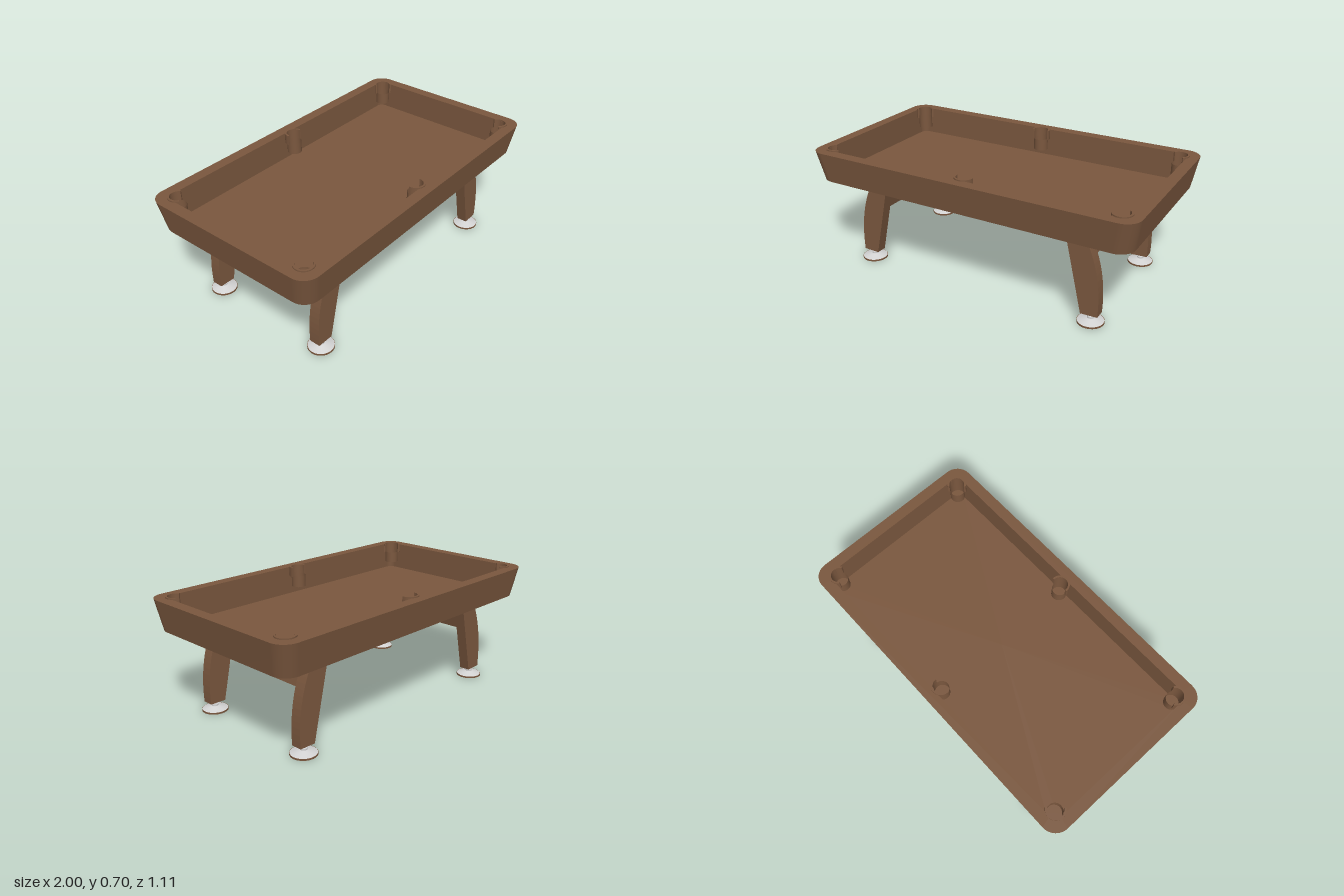
import * as THREE from 'three';

const wood = new THREE.MeshStandardMaterial({ color: 0x7a573e });
wood.name = 'brownWood';
const metal = new THREE.MeshStandardMaterial({ color: 0xd2d2d2 });
metal.name = 'paleMetal';
const woodOpen = wood;
woodOpen.side = THREE.DoubleSide;

function add(parent, name, geometry, material = wood) {
  const mesh = new THREE.Mesh(geometry, material);
  mesh.name = name;
  parent.add(mesh);
  return mesh;
}

// Rounded rectangle ring of points in the xz plane, going from +x towards +z
function ring(hx, hz, r, y, steps = 10) {
  const pts = [];
  const corners = [[1, 1], [-1, 1], [-1, -1], [1, -1]];
  corners.forEach(([sx, sz], c) => {
    for (let i = 0; i <= steps; i++) {
      const a = (c + i / steps) * Math.PI / 2;
      pts.push([sx * (hx - r) + r * Math.cos(a), y, sz * (hz - r) + r * Math.sin(a)]);
    }
  });
  return pts;
}

// Tray lofted through rings; every strip has its own points so edges stay sharp
function trayGeometry() {
  const outerLow = ring(0.97, 0.525, 0.09, 0.518);
  const outerTop = ring(1, 0.555, 0.09, 0.698);
  const innerTop = ring(0.935, 0.49, 0.04, 0.698);
  const innerLow = ring(0.935, 0.49, 0.04, 0.53);
  const n = outerLow.length;
  const centre = y => Array.from({ length: n }, () => [0, y, 0]);
  const loops = [centre(0.518), outerLow, outerTop, innerTop, innerLow, centre(0.53)];
  const position = [], index = [];
  for (let s = 0; s + 1 < loops.length; s++) {
    const base = position.length / 3;
    for (const p of [...loops[s], ...loops[s + 1]]) position.push(...p);
    for (let i = 0; i < n; i++) {
      const j = (i + 1) % n;
      const a = base + i, b = base + j, c = base + n + j, d = base + n + i;
      index.push(a, d, b, b, d, c);
    }
  }
  const g = new THREE.BufferGeometry();
  g.setAttribute('position', new THREE.Float32BufferAttribute(position, 3));
  g.setIndex(index);
  g.computeVertexNormals();
  return g;
}

// Curved leg for the +x side, straight inside and bowed outside
function legGeometry() {
  const s = new THREE.Shape();
  s.moveTo(0.571, 0.52);
  s.lineTo(0.677, 0.052);
  s.lineTo(0.775, 0.055);
  s.bezierCurveTo(0.785, 0.23, 0.755, 0.38, 0.677, 0.52);
  s.closePath();
  const g = new THREE.ExtrudeGeometry(s, { depth: 0.064, bevelEnabled: false, curveSegments: 14 });
  return g.translate(0, 0, -0.032);
}

// C-shaped collar opening towards -x
function collarGeometry(arc) {
  const s = new THREE.Shape();
  s.absarc(0, 0, 0.055, -arc / 2, arc / 2, false);
  s.absarc(0, 0, 0.044, arc / 2, -arc / 2, true);
  s.closePath();
  const g = new THREE.ExtrudeGeometry(s, { depth: 0.06, bevelEnabled: false, curveSegments: 20 });
  return g.rotateX(-Math.PI / 2);
}

const lathe = pts => new THREE.LatheGeometry(pts.map(p => new THREE.Vector2(...p)), 32);

function createPocket(x, z) {
  const pocket = new THREE.Group();
  pocket.name = x === 0 ? 'sidePocket' : 'cornerPocket';
  pocket.position.set(x, 0, z);
  const collar = add(pocket, 'pocketCollar', collarGeometry(x === 0 ? 3.3 : 3.6));
  collar.position.y = 0.645;
  collar.rotation.y = Math.atan2(-Math.sign(z), Math.sign(x));
  add(pocket, 'pocketCupWall', new THREE.CylinderGeometry(0.043, 0.043, 0.07, 32, 1, true), woodOpen)
    .position.y = 0.615;
  const base = add(pocket, 'pocketCupBase', new THREE.CircleGeometry(0.043, 32), woodOpen);
  base.rotation.x = -Math.PI / 2;
  base.position.y = 0.58;
  return pocket;
}

function createFoot() {
  const foot = new THREE.Group();
  foot.name = 'levellingFoot';
  add(foot, 'footPad', new THREE.CylinderGeometry(0.075, 0.075, 0.01, 32)).position.y = 0.005;
  add(foot, 'footCone', new THREE.CylinderGeometry(0.022, 0.073, 0.017, 32), metal).position.y = 0.0185;
  add(foot, 'footNut', new THREE.CylinderGeometry(0.019, 0.019, 0.009, 24), metal).position.y = 0.0315;
  add(foot, 'footStem', lathe([[0.012, 0.036], [0.008, 0.042], [0.007, 0.058]]), metal);
  return foot;
}

export function createModel() {
  const model = new THREE.Group();
  model.name = 'poolTable';

  // Table body and pockets
  add(model, 'tray', trayGeometry());
  for (const z of [-0.446, 0.446]) {
    for (const x of [-0.892, 0, 0.892]) model.add(createPocket(x, z));
  }

  // Base frame sits slightly towards +x
  const base = new THREE.Group();
  base.name = 'baseFrame';
  base.position.x = 0.008;
  model.add(base);

  const leg = legGeometry();
  for (const side of [0, Math.PI]) {
    const end = new THREE.Group();
    end.name = 'legPair';
    end.rotation.y = side;
    base.add(end);
    for (const z of [-0.377, 0.377]) {
      add(end, 'leg', leg).position.z = z;
      const foot = createFoot();
      foot.position.set(0.726, 0, z);
      end.add(foot);
    }
    // Sloping board between the two legs
    const board = add(end, 'endBoard', new THREE.BoxGeometry(0.038, 0.14, 0.69));
    board.position.set(0.652, 0.398, 0);
    board.rotation.z = 0.222;
  }

  // Long board joining both ends
  add(base, 'longStretcher', new THREE.BoxGeometry(1.28, 0.128, 0.05)).position.y = 0.394;

  return model;
}
